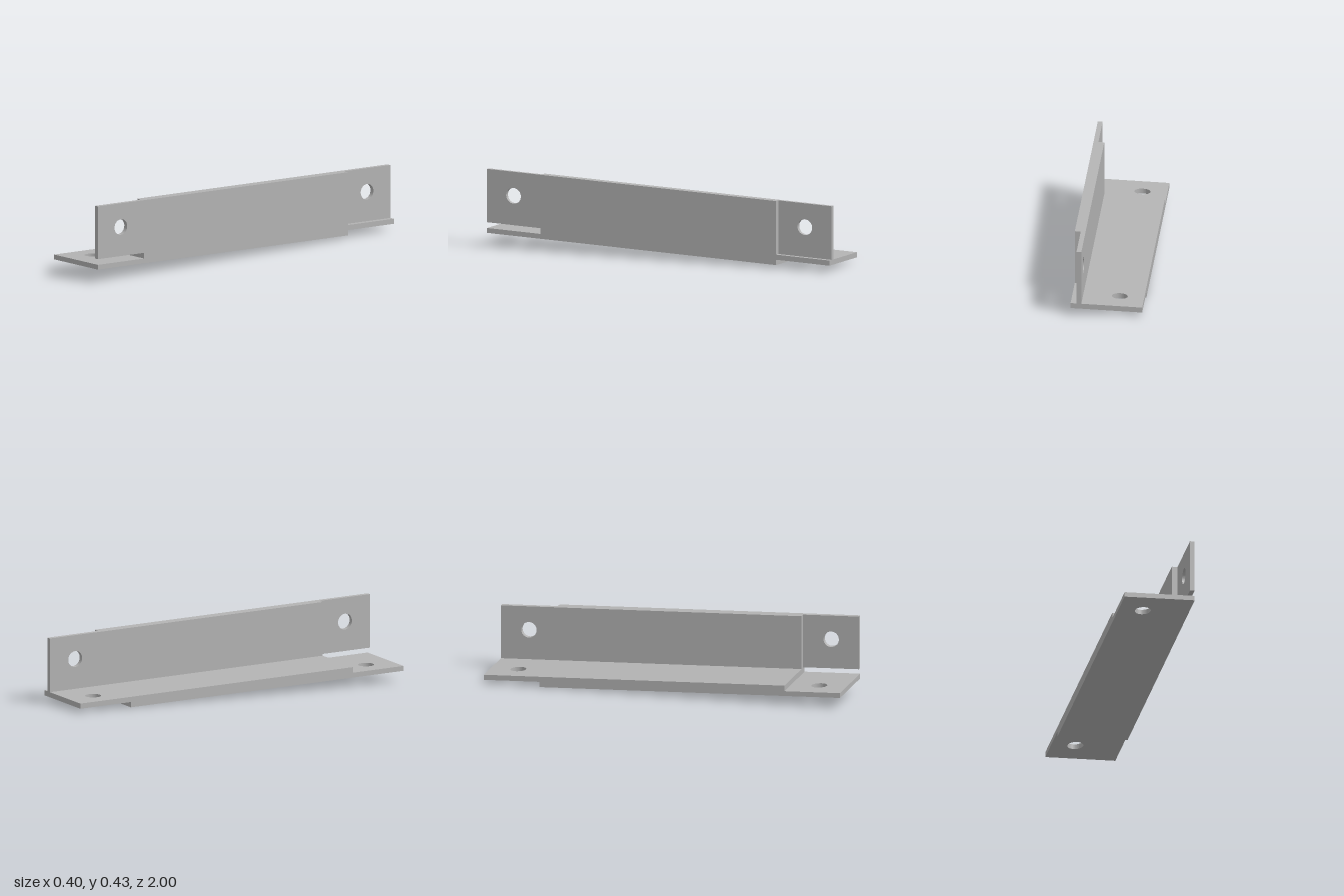
import * as THREE from 'three';

const HALF = 0.193;              // half width of the base flange
const BOTTOM = 0.0335, FLOOR = 0.0905, TOP = 0.383;
const INNER = 0.135;             // inner face of the upright flange
const STEP = 0.688, END = 1;     // body end and tab end along z
const HOLE_R = 0.043;

// The whole angle bar leans slightly: x and y drift along its length, y across its width
const lean = new THREE.Matrix4().set(
  1, 0, -0.007, 0,
  0.045, 1, 0.035, 0,
  0, 0, 1, 0,
  0, 0, 0, 1
);

function rectShape(a0, b0, a1, b1, hole) {
  const s = new THREE.Shape();
  s.moveTo(a0, b0).lineTo(a1, b0).lineTo(a1, b1).lineTo(a0, b1).closePath();
  if (hole) {
    const p = new THREE.Path();
    p.absarc(hole[0], hole[1], HOLE_R, 0, Math.PI * 2, true);
    s.holes.push(p);
  }
  return s;
}

const extrude = (shape, depth) =>
  new THREE.ExtrudeGeometry(shape, { depth, bevelEnabled: false, curveSegments: 32 });

// Horizontal plate drawn in (x, z), thickened downwards from y1
function floorPlate(z0, z1, y0, y1, hole) {
  return extrude(rectShape(-HALF, z0, HALF, z1, hole), y1 - y0)
    .rotateX(Math.PI / 2).translate(0, y1, 0);
}

// Upright plate drawn in (z, y), thickened inwards from x1
function wallPlate(z0, z1, y0, x0, x1, hole) {
  return extrude(rectShape(z0, y0, z1, TOP, hole), x1 - x0)
    .rotateY(-Math.PI / 2).translate(x1, 0, 0);
}

export function createModel() {
  const group = new THREE.Group();
  group.name = 'angleBracket';
  const steel = new THREE.MeshStandardMaterial({ color: 0xb3b3b3 });
  steel.name = 'steelGrey';

  const add = (name, geometry) => {
    const mesh = new THREE.Mesh(geometry.applyMatrix4(lean), steel);
    mesh.name = name;
    group.add(mesh);
  };

  // L-section body
  const section = new THREE.Shape([
    [-HALF, BOTTOM], [HALF, BOTTOM], [HALF, TOP],
    [INNER, TOP], [INNER, FLOOR], [-HALF, FLOOR],
  ].map(([x, y]) => new THREE.Vector2(x, y)));
  add('angleBody', extrude(section, 2 * STEP).translate(0, 0, -STEP));

  // Front half-lap tabs: lower half of the base, outer half of the upright, slot between
  add('frontBaseTab', floorPlate(STEP, END, BOTTOM, 0.06, [-0.059, 0.845]));
  add('frontUprightTab', wallPlate(STEP, END, 0.0915, 0.167, HALF, [0.845, 0.252]));

  // Back half-lap tabs: upper half of the base, inner half of the upright
  add('backBaseTab', floorPlate(-END, -STEP, 0.0625, FLOOR, [-0.061, -0.845]));
  add('backUprightTab', wallPlate(-END, -STEP, FLOOR, INNER, 0.161, [-0.843, 0.253]));

  return group;
}
